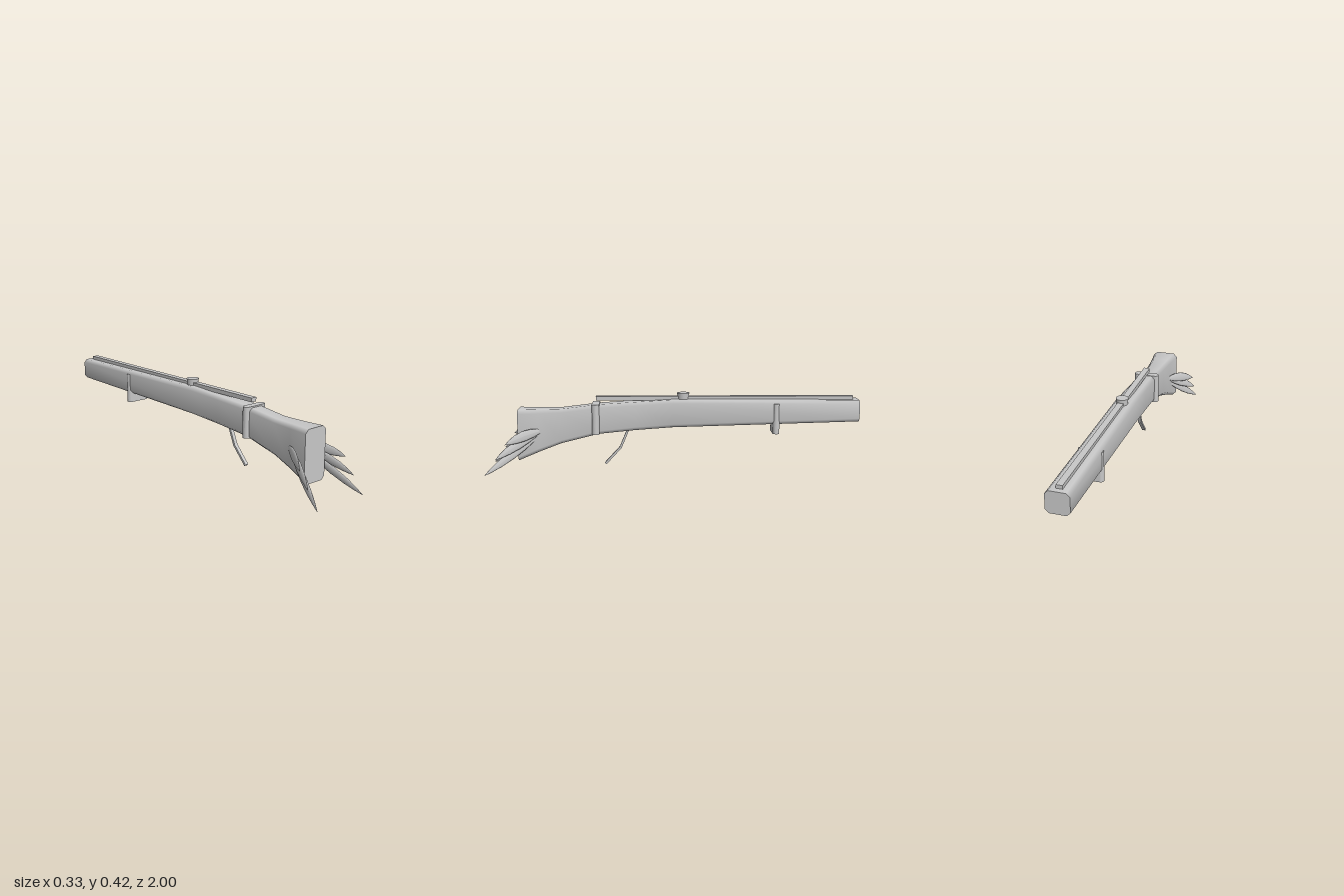
import * as THREE from 'three';

const metal = new THREE.MeshStandardMaterial({ color: 0xc8c8c8 });
metal.name = 'pale grey';

// Chamfered rectangle, counter-clockwise seen from +z
function ring(y0, y1, w, c) {
  return [[w - c, y0], [w, y0 + c], [w, y1 - c], [w - c, y1],
    [c - w, y1], [-w, y1 - c], [-w, y0 + c], [c - w, y0]];
}

// Smooth skin through the chamfered sections, open at both ends
function loft(stations) {
  const pos = [], index = [];
  stations.forEach(([z, ...section], i) => {
    ring(...section).forEach(([x, y], j) => {
      pos.push(x, y, z);
      if (i === 0) return;
      const k = (j + 1) % 8, p = (i - 1) * 8, q = i * 8;
      index.push(p + j, q + j, p + k, p + k, q + j, q + k);
    });
  });
  const geo = new THREE.BufferGeometry();
  geo.setAttribute('position', new THREE.Float32BufferAttribute(pos, 3));
  geo.setIndex(index);
  geo.computeVertexNormals();
  return geo;
}

// Flat end face of a section
function cap([z, ...section], back) {
  const shape = new THREE.Shape(ring(...section).map(p => new THREE.Vector2(...p)));
  const geo = new THREE.ShapeGeometry(shape);
  if (back) geo.rotateY(Math.PI);
  return geo.translate(0, 0, z);
}

// Upright band with rounded ends: half width w, radius r
function band(w, r, y0, y1, z) {
  const shape = new THREE.Shape();
  shape.absarc(w - r, 0, r, -Math.PI / 2, Math.PI / 2, false);
  shape.absarc(r - w, 0, r, Math.PI / 2, Math.PI * 1.5, false);
  const geo = new THREE.ExtrudeGeometry(shape, { depth: y1 - y0, bevelEnabled: false, curveSegments: 8 });
  return geo.rotateX(-Math.PI / 2).translate(0, y0, z);
}

// Flattened pointed leaf from root to tip, bowed upwards
function feather(root, tip, width, thick, bow) {
  const profile = [[0, 0], [0.5, 0.1], [0.85, 0.28], [1, 0.48], [0.82, 0.7], [0.45, 0.87], [0, 1]];
  const geo = new THREE.LatheGeometry(profile.map(p => new THREE.Vector2(...p)), 12);
  const dir = tip.clone().sub(root);
  const side = new THREE.Vector3(0, dir.z, -dir.y).normalize();
  const flat = new THREE.Vector3().crossVectors(side, dir).normalize();
  const p = geo.attributes.position;
  for (let i = 0; i < p.count; i++) {
    const t = p.getY(i);
    p.setX(i, p.getX(i) * width + bow * 4 * t * (1 - t));
    p.setZ(i, p.getZ(i) * thick);
  }
  geo.applyMatrix4(new THREE.Matrix4().makeBasis(side, dir, flat).setPosition(root));
  geo.computeVertexNormals();
  return geo;
}

export function createModel() {
  const model = new THREE.Group();
  const add = (name, geo) => {
    const mesh = new THREE.Mesh(geo, metal);
    mesh.name = name;
    model.add(mesh);
    return mesh;
  };

  // Stock and barrel: z, bottom, top, half width, chamfer
  const stations = [
    [0.83, 0.06, 0.335, 0.072, 0.02],
    [0.72, 0.105, 0.335, 0.06, 0.02],
    [0.6, 0.15, 0.336, 0.051, 0.018],
    [0.4, 0.2, 0.36, 0.051, 0.018],
    [0.2, 0.221, 0.373, 0.055, 0.018],
    [0, 0.236, 0.385, 0.058, 0.018],
    [-1, 0.265, 0.381, 0.061, 0.018],
  ];
  add('body', loft(stations));
  add('buttPlate', cap(stations[0], false));
  add('muzzleFace', cap(stations[stations.length - 1], true));

  // Bands across the body
  add('rearBand', band(0.07, 0.02, 0.2, 0.363, 0.415));
  add('foreBand', band(0.066, 0.018, 0.2, 0.363, -0.553));

  // Top rail and round knob
  add('topRail', new THREE.BoxGeometry(0.033, 0.022, 1.385).translate(0, 0.389, -0.278));
  add('knob', new THREE.CylinderGeometry(0.033, 0.03, 0.038, 24).translate(0, 0.399, -0.055));

  // Bent trigger lever
  const lever = [[0.24, 0.225], [0.284, 0.12], [0.365, 0.032]];
  for (let i = 0; i < 2; i++) {
    const [z0, y0] = lever[i], [z1, y1] = lever[i + 1];
    const len = Math.hypot(z1 - z0, y1 - y0);
    const bar = add('trigger', new THREE.BoxGeometry(0.02, 0.012, len + 0.006));
    bar.position.set(0, (y0 + y1) / 2, (z0 + z1) / 2);
    bar.rotation.x = -Math.atan2(y1 - y0, z1 - z0);
  }

  // Three feathers on each side of the butt: root y, root z, tip y, tip z, width, bow
  const feathers = [
    [0.222, 0.7, 0.167, 0.885, 0.028, 0.008],
    [0.215, 0.71, 0.085, 0.94, 0.025, 0.006],
    [0.195, 0.72, 0, 1, 0.023, 0.002],
  ];
  for (const s of [1, -1]) {
    for (const [y0, z0, y1, z1, width, bow] of feathers) {
      add(s > 0 ? 'leftFeather' : 'rightFeather', feather(
        new THREE.Vector3(s * 0.048, y0, z0), new THREE.Vector3(s * 0.165, y1, z1), width, 0.007, bow));
    }
  }
  return model;
}
